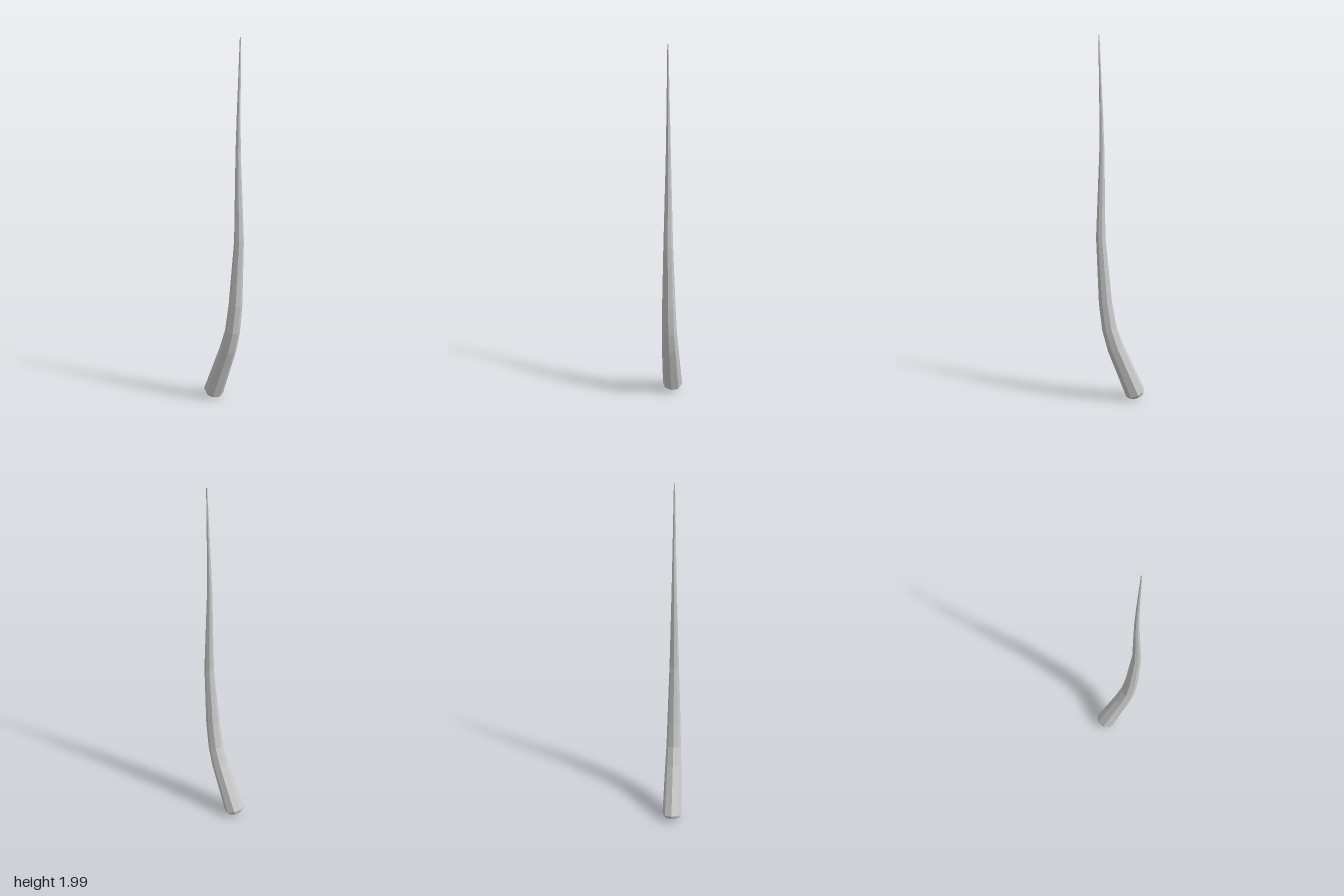
import * as THREE from 'three';

const SIDES = 8;

// Centre line of the horn: x, y, radius
const RINGS = [
  [-0.091, 0.02, 0.041],
  [-0.085, 0.036, 0.055],
  [0.03, 0.31, 0.046],
  [0.064, 0.42, 0.041],
  [0.086, 0.57, 0.037],
  [0.111, 0.93, 0.026],
  [0.103, 1.4, 0.014],
  [0.106, 1.6, 0.01],
  [0.117, 2.0, 0.003],
];

function createHornGeometry() {
  const positions = [];
  const indices = [];

  // Octagonal cross-sections, each square to the local centre line
  RINGS.forEach(([x, y, r], i) => {
    const a = RINGS[Math.max(i - 1, 0)];
    const b = RINGS[Math.min(i + 1, RINGS.length - 1)];
    const tangent = new THREE.Vector2(b[0] - a[0], b[1] - a[1]).normalize();
    for (let j = 0; j < SIDES; j++) {
      const t = (j / SIDES) * Math.PI * 2;
      const u = Math.cos(t) * r;
      positions.push(x + tangent.y * u, y - tangent.x * u, Math.sin(t) * r);
    }
  });

  // Side walls
  for (let i = 0; i < RINGS.length - 1; i++) {
    for (let j = 0; j < SIDES; j++) {
      const k = (j + 1) % SIDES;
      const a = i * SIDES + j, b = i * SIDES + k;
      const c = a + SIDES, d = b + SIDES;
      indices.push(a, c, b, b, c, d);
    }
  }

  // Flat butt and tiny tip cap
  const last = (RINGS.length - 1) * SIDES;
  for (let j = 1; j < SIDES - 1; j++) {
    indices.push(0, j, j + 1);
    indices.push(last, last + j + 1, last + j);
  }

  const geometry = new THREE.BufferGeometry();
  geometry.setAttribute('position', new THREE.Float32BufferAttribute(positions, 3));
  geometry.setIndex(indices);
  geometry.computeVertexNormals();
  return geometry;
}

export function createModel() {
  const group = new THREE.Group();
  const material = new THREE.MeshStandardMaterial({ color: 0xcccccc, flatShading: true });
  const horn = new THREE.Mesh(createHornGeometry(), material);
  horn.name = 'taperedCurvedShaft';
  group.add(horn);
  return group;
}
